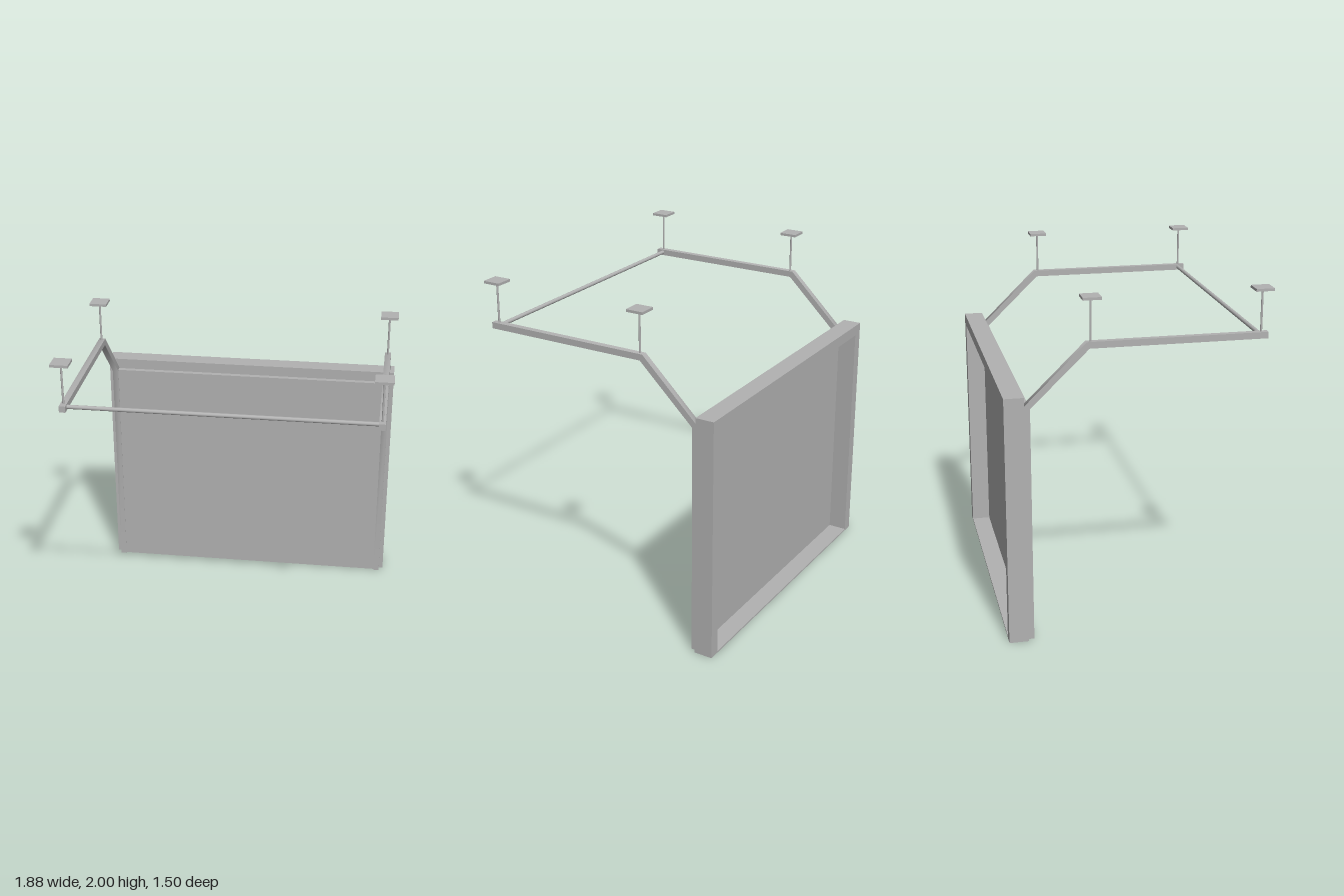
import * as THREE from 'three';

const steel = new THREE.MeshStandardMaterial({ color: 0xb2b2b2 });
steel.name = 'grey steel';

function add(parent, name, geometry, x, y, z) {
  const mesh = new THREE.Mesh(geometry, steel);
  mesh.name = name;
  mesh.position.set(x, y, z);
  parent.add(mesh);
  return mesh;
}

// Box given by its limits
function box(parent, name, [x0, x1], [y0, y1], [z0, z1]) {
  return add(parent, name, new THREE.BoxGeometry(x1 - x0, y1 - y0, z1 - z0),
    (x0 + x1) / 2, (y0 + y1) / 2, (z0 + z1) / 2);
}

// Square rail swept along a bent path: sharp long edges, smooth bends
function railGeometry(halfWidth) {
  const outer = [[0.735, 1.747], [-0.288, 1.747], [-0.637, 1.405], [-0.637, 0]];
  const inner = [[0.735, 1.71], [-0.272, 1.71], [-0.602, 1.39], [-0.602, 0]];
  const corners = [[-1, outer], [1, outer], [1, inner], [-1, inner]]
    .map(([s, line]) => line.map(([z, y]) => [s * halfWidth, y, z]));
  const positions = [], index = [];
  for (let i = 0; i < 4; i++) {
    const a = corners[i], b = corners[(i + 1) % 4];
    const base = positions.length / 3;
    a.forEach((p, k) => positions.push(...p, ...b[k]));
    for (let k = 0; k < a.length - 1; k++) {
      const n = base + 2 * k;
      index.push(n, n + 1, n + 3, n, n + 3, n + 2);
    }
  }
  // end caps
  for (const [k, order] of [[0, [0, 3, 2, 1]], [3, [0, 1, 2, 3]]]) {
    const n = positions.length / 3;
    order.forEach((c) => positions.push(...corners[c][k]));
    index.push(n, n + 1, n + 2, n, n + 2, n + 3);
  }
  const g = new THREE.BufferGeometry();
  g.setAttribute('position', new THREE.Float32BufferAttribute(positions, 3));
  g.setIndex(index);
  g.computeVertexNormals();
  return g;
}

export function createModel() {
  const model = new THREE.Group();
  model.name = 'overheadDoor';

  // Door frame with a thin sill
  const frame = new THREE.Group();
  frame.name = 'doorFrame';
  model.add(frame);
  const depth = [-0.75, -0.637];
  box(frame, 'leftJamb', [0.865, 0.93], [0, 1.465], depth);
  box(frame, 'rightJamb', [-0.93, -0.865], [0, 1.465], depth);
  box(frame, 'lintel', [-0.865, 0.865], [1.4, 1.465], depth);
  box(frame, 'sill', [-0.865, 0.865], [0, 0.01], depth);

  // Closed door panel between the tracks
  box(model, 'doorPanel', [-0.868, 0.868], [0.005, 1.4], [-0.637, -0.605]);

  // Tracks with ceiling hangers
  const track = railGeometry(0.0185);
  for (const side of [1, -1]) {
    const label = side > 0 ? 'left' : 'right';
    const x = side * 0.886;
    add(model, label + 'Track', track, x, 0, 0);
    for (const z of [0.697, -0.263]) {
      const hanger = new THREE.Group();
      hanger.name = label + (z > 0 ? 'Front' : 'Rear') + 'Hanger';
      hanger.position.set(x, 0, z);
      model.add(hanger);
      add(hanger, 'rod', new THREE.CylinderGeometry(0.006, 0.006, 0.25, 16), 0, 1.865, 0);
      add(hanger, 'ceilingPlate', new THREE.BoxGeometry(0.104, 0.015, 0.104), 0, 1.9925, 0);
    }
  }

  // Cross bar joining the front ends of the tracks
  const bar = add(model, 'crossBar',
    new THREE.CylinderGeometry(0.012, 0.012, 1.74, 16), 0, 1.729, 0.695);
  bar.rotation.z = Math.PI / 2;

  return model;
}
